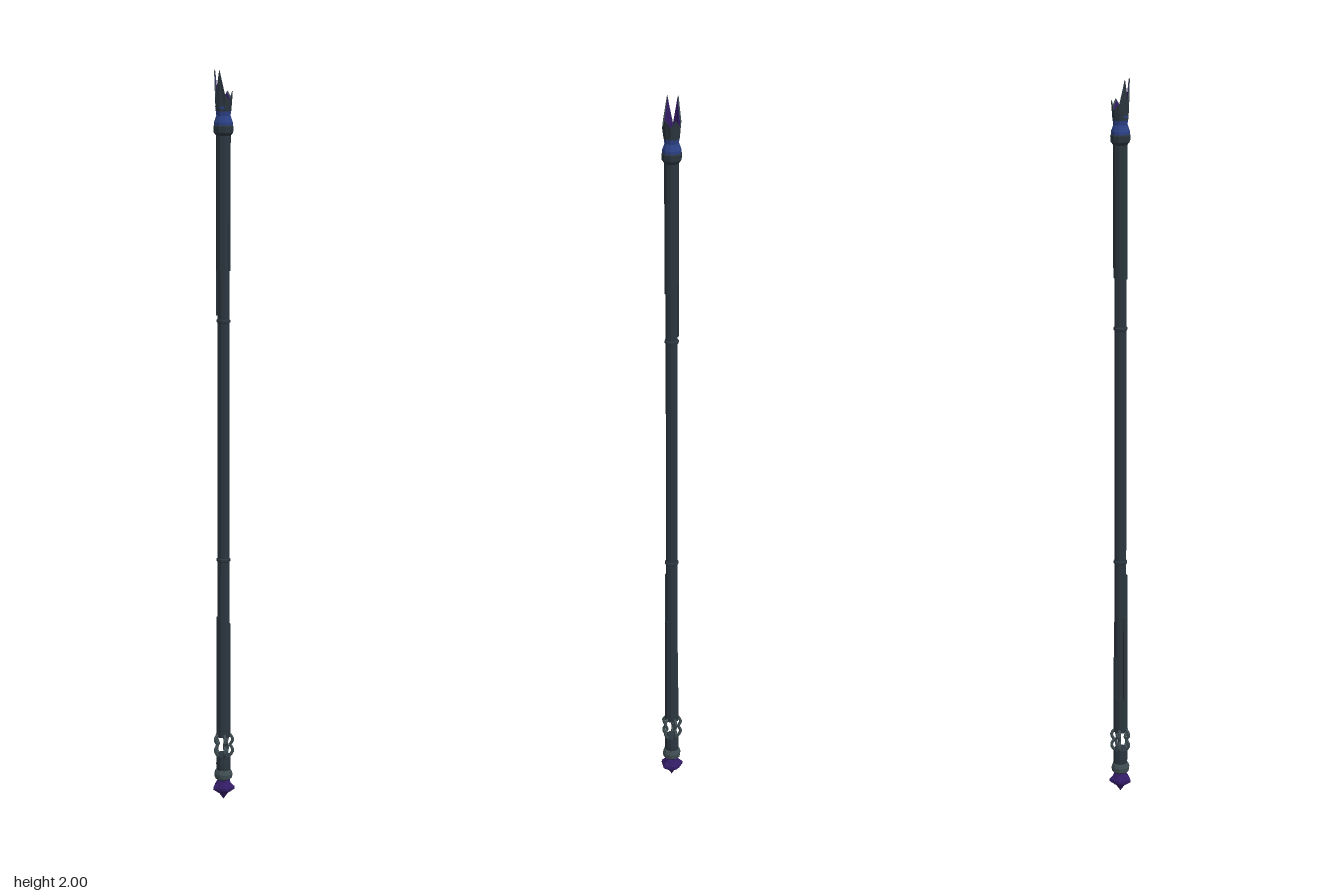
import * as THREE from 'three';

const mat = (name, color, extra = {}) =>
  Object.assign(new THREE.MeshStandardMaterial({ color, flatShading: true, ...extra }), { name });

export function createModel() {
  const staff = new THREE.Group();
  staff.name = 'staff';
  const slate = mat('dark slate', 0x2b363f);
  const grey = mat('grey metal', 0x3f4d52);
  const blue = mat('deep blue', 0x2c4186);
  const purple = mat('purple crystal', 0x331c66);

  const add = (name, geo, material, parent = staff) => {
    const mesh = new THREE.Mesh(geo, material);
    mesh.name = name;
    parent.add(mesh);
    return mesh;
  };
  // turned part from [radius, height] pairs, listed bottom to top
  const turned = (name, pts, material, sides = 10) =>
    add(name, new THREE.LatheGeometry(pts.map(p => new THREE.Vector2(...p)), sides, Math.PI * 0.3), material);
  const FIVE = [36, 108, 180, 252, 324].map(d => d * Math.PI / 180);

  // shaft with thin joint rings
  turned('shaft', [[0, 0.18], [0.0162, 0.18], [0.0162, 1.84], [0, 1.84]], slate);
  for (const y of [0.68, 1.335]) {
    turned('jointRing', [[0.015, y - 0.006], [0.019, y - 0.003], [0.019, y + 0.003], [0.015, y + 0.006]], slate);
  }

  // overlapping shell plates of uneven length at both ends
  const plate = (name, a, y0, y1) => {
    const r = 0.0195, s = new THREE.Shape();
    s.moveTo(0, 0);
    for (let i = 0; i <= 2; i++) {
      const t = a + (i - 1) * Math.PI / 5;
      s.lineTo(r * Math.cos(t), -r * Math.sin(t));
    }
    s.closePath();
    const geo = new THREE.ExtrudeGeometry(s, { depth: y1 - y0, bevelEnabled: false });
    geo.rotateX(-Math.PI / 2).translate(0, y0, 0);
    add(name, geo, slate);
  };
  const upperEnds = [1.47, 1.6, 1.47, 1.35, 1.5];
  const lowerEnds = [0.5, 0.64, 0.52, 0.28, 0.4];
  FIVE.forEach((a, i) => {
    plate('upperPlate', a, upperEnds[i], 1.84);
    plate('lowerPlate', a, 0.18, lowerEnds[i]);
  });

  // head collar and blue neck
  turned('headCollar', [[0.018, 1.825], [0.026, 1.836], [0.027, 1.852], [0.022, 1.86], [0, 1.86]], slate);
  turned('blueNeck', [[0.025, 1.855], [0.025, 1.863], [0.019, 1.88], [0.022, 1.905], [0, 1.905]], blue);

  // broken crown: outer wall, crystal lining and rim
  const heights = [1.925, 1.945, 1.92, 1.935, 2, 1.925, 2, 1.935, 1.92, 1.945];
  const ring = (r, yOf) => heights.map((h, i) => {
    const a = i * Math.PI / 5;
    return [r * Math.cos(a), yOf(h), r * Math.sin(a)];
  });
  const band = (lower, upper) => {
    const pos = [];
    lower.forEach((p, i) => {
      const j = (i + 1) % lower.length;
      pos.push(...p, ...upper[i], ...upper[j], ...p, ...upper[j], ...lower[j]);
    });
    const g = new THREE.BufferGeometry();
    g.setAttribute('position', new THREE.Float32BufferAttribute(pos, 3));
    g.computeVertexNormals();
    return g;
  };
  const outBase = ring(0.021, () => 1.892), outTop = ring(0.025, h => h);
  const inBase = ring(0.017, () => 1.906), inTop = ring(0.0215, h => h - 0.004);
  add('crownWall', band(outBase, outTop), slate);
  add('crownRim', band(outTop, inTop), grey);
  add('crownLining', band(inTop, inBase), purple);
  turned('crownCrystal', [[0.018, 1.904], [0.014, 1.912], [0, 1.916]], purple);

  // open cage: five bars pinched at the middle
  for (const a of FIVE) {
    const bar = new THREE.CatmullRomCurve3(
      [[0.014, 0.122], [0.025, 0.138], [0.024, 0.148], [0.018, 0.157], [0.024, 0.166], [0.025, 0.176], [0.014, 0.19]]
        .map(([r, y]) => new THREE.Vector3(r * Math.cos(a), y, r * Math.sin(a))));
    add('cageBar', new THREE.TubeGeometry(bar, 12, 0.0045, 5), grey);
  }

  // lower socket, ring and crystal pommel
  turned('cageSocket', [[0, 0.07], [0.018, 0.07], [0.02, 0.1], [0.0195, 0.125], [0.013, 0.134], [0, 0.134]], slate);
  turned('pommelRing', [[0.016, 0.056], [0.024, 0.062], [0.0255, 0.074], [0.022, 0.084], [0.016, 0.086]], grey);
  turned('pommelCrystal', [[0, 0], [0.012, 0.017], [0.032, 0.031], [0.031, 0.038], [0.018, 0.05], [0.018, 0.062], [0, 0.062]], purple, 5);
  turned('pommelCore', [[0, 0.012], [0.024, 0.026], [0.026, 0.036], [0.018, 0.052], [0, 0.06]], purple);

  return staff;
}
